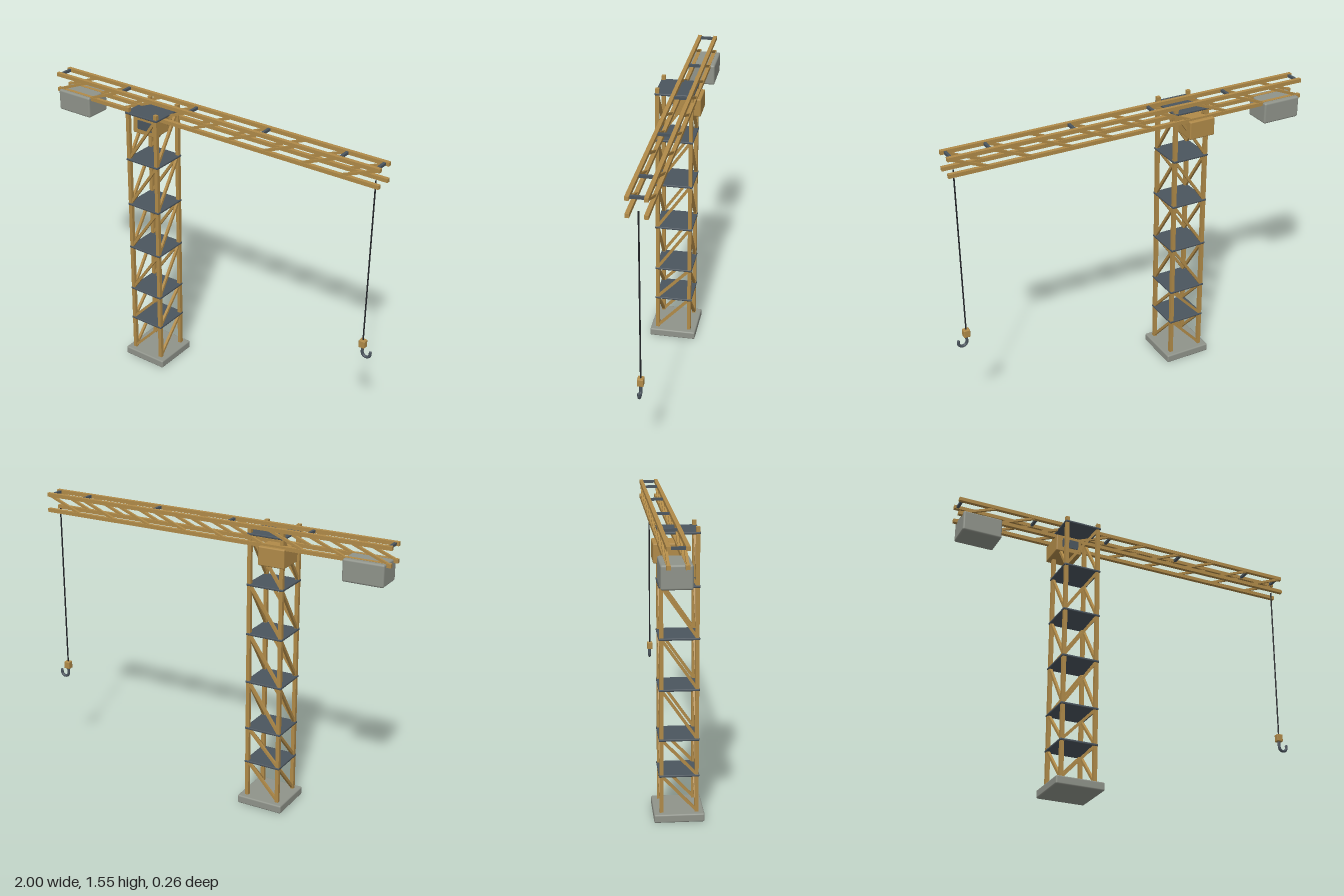
import * as THREE from 'three';
import { RoundedBoxGeometry } from 'three/addons/geometries/RoundedBoxGeometry.js';

const mat = (color) => new THREE.MeshStandardMaterial({ color });

export function createModel() {
  const crane = new THREE.Group();
  crane.name = 'towerCrane';
  const ochre = mat(0xb08a48), steel = mat(0x4b555e), concrete = mat(0x8f938a), black = mat(0x24262a);

  const group = (name) => {
    const g = new THREE.Group();
    g.name = name;
    crane.add(g);
    return g;
  };
  const add = (parent, name, geometry, material, x, y, z) => {
    const m = new THREE.Mesh(geometry, material);
    m.name = name;
    m.position.set(x, y, z);
    parent.add(m);
    return m;
  };
  const box = (parent, name, w, h, d, material, x, y, z) =>
    add(parent, name, new THREE.BoxGeometry(w, h, d), material, x, y, z);
  const block = (parent, name, w, h, d, r, material, x, y, z) =>
    add(parent, name, new RoundedBoxGeometry(w, h, d, 2, r), material, x, y, z);
  // Square bar running from point a to point b
  const bar = (parent, name, a, b, t, material) => {
    const p = new THREE.Vector3(...a), q = new THREE.Vector3(...b);
    const m = box(parent, name, t, t, p.distanceTo(q), material, 0, 0, 0);
    m.position.copy(p).add(q).multiplyScalar(0.5);
    m.lookAt(q);
    return m;
  };

  // Base slab
  const mx = -0.335, half = 0.09;
  block(crane, 'base', 0.26, 0.045, 0.26, 0.008, concrete, mx, 0.0225, 0);

  // Mast: four posts, decks and a diagonal on every face of each bay
  const mast = group('mast');
  for (const sx of [-1, 1]) for (const sz of [-1, 1])
    box(mast, 'mastPost', 0.02, 1.495, 0.02, ochre, mx + sx * half, 0.7825, sz * half);
  const levels = [0.045, 0.245, 0.44, 0.705, 0.97, 1.235, 1.5];
  for (let i = 1; i < levels.length; i++) {
    const lo = levels[i - 1] + 0.005, hi = levels[i];
    block(mast, 'mastDeck', 0.207, 0.012, 0.207, 0.004, steel, mx, hi, 0);
    for (const s of [-1, 1]) {
      bar(mast, 'mastBrace', [mx - half, lo, s * half], [mx + half, hi, s * half], 0.014, ochre);
      bar(mast, 'mastBrace', [mx + s * half, lo, half], [mx + s * half, hi, -half], 0.014, ochre);
    }
  }

  // Jib: four chords, side diagonals and top cross ties
  const jib = group('jib');
  const x0 = -1, x1 = 0.988, yLow = 1.456, yTop = 1.541, zs = [-0.1, -0.013], jz = -0.0565;
  const panels = 9, step = (x1 - x0) / panels;
  for (const z of zs) {
    for (const y of [yLow, yTop])
      box(jib, 'jibChord', x1 - x0, 0.02, 0.02, ochre, (x0 + x1) / 2, y, z);
    for (let i = 0; i < panels; i++)
      bar(jib, 'jibBrace', [x0 + i * step + 0.005, yLow, z], [x0 + (i + 1) * step - 0.005, yTop, z], 0.013, ochre);
  }
  for (const x of [-0.982, -0.56, -0.118, 0.323, 0.766, 0.965])
    box(jib, 'jibTie', 0.014, 0.014, zs[1] - zs[0], steel, x, yTop, jz);

  // Counterweight
  block(crane, 'counterweight', 0.215, 0.115, 0.148, 0.01, concrete, -0.87, 1.407, -0.06);

  // Operator cab with front window
  const cab = group('cab');
  block(cab, 'cabBody', 0.145, 0.098, 0.15, 0.006, ochre, -0.382, 1.406, -0.055);
  box(cab, 'cabWindow', 0.09, 0.05, 0.008, steel, -0.375, 1.41, 0.02);

  // Hoist: cable, block and hook
  const hoist = group('hoist');
  const hx = 0.945;
  add(hoist, 'cable', new THREE.CylinderGeometry(0.004, 0.004, 0.91, 8), black, hx, 1.005, jz);
  block(hoist, 'hookBlock', 0.035, 0.042, 0.032, 0.004, ochre, hx, 0.54, jz);
  const pts = [new THREE.Vector3(hx, 0.525, jz), new THREE.Vector3(hx, 0.505, jz)];
  for (let i = 0; i <= 8; i++) {
    const a = Math.PI + (i / 8) * Math.PI * 1.05;
    pts.push(new THREE.Vector3(hx + 0.023 + 0.023 * Math.cos(a), 0.49 + 0.023 * Math.sin(a), jz));
  }
  pts.push(new THREE.Vector3(0.991, 0.5, jz));
  const curve = new THREE.CatmullRomCurve3(pts);
  add(hoist, 'hook', new THREE.TubeGeometry(curve, 28, 0.008, 8), steel, 0, 0, 0);
  add(hoist, 'hookTip', new THREE.SphereGeometry(0.008, 8, 6), steel, 0.991, 0.5, jz);

  return crane;
}
